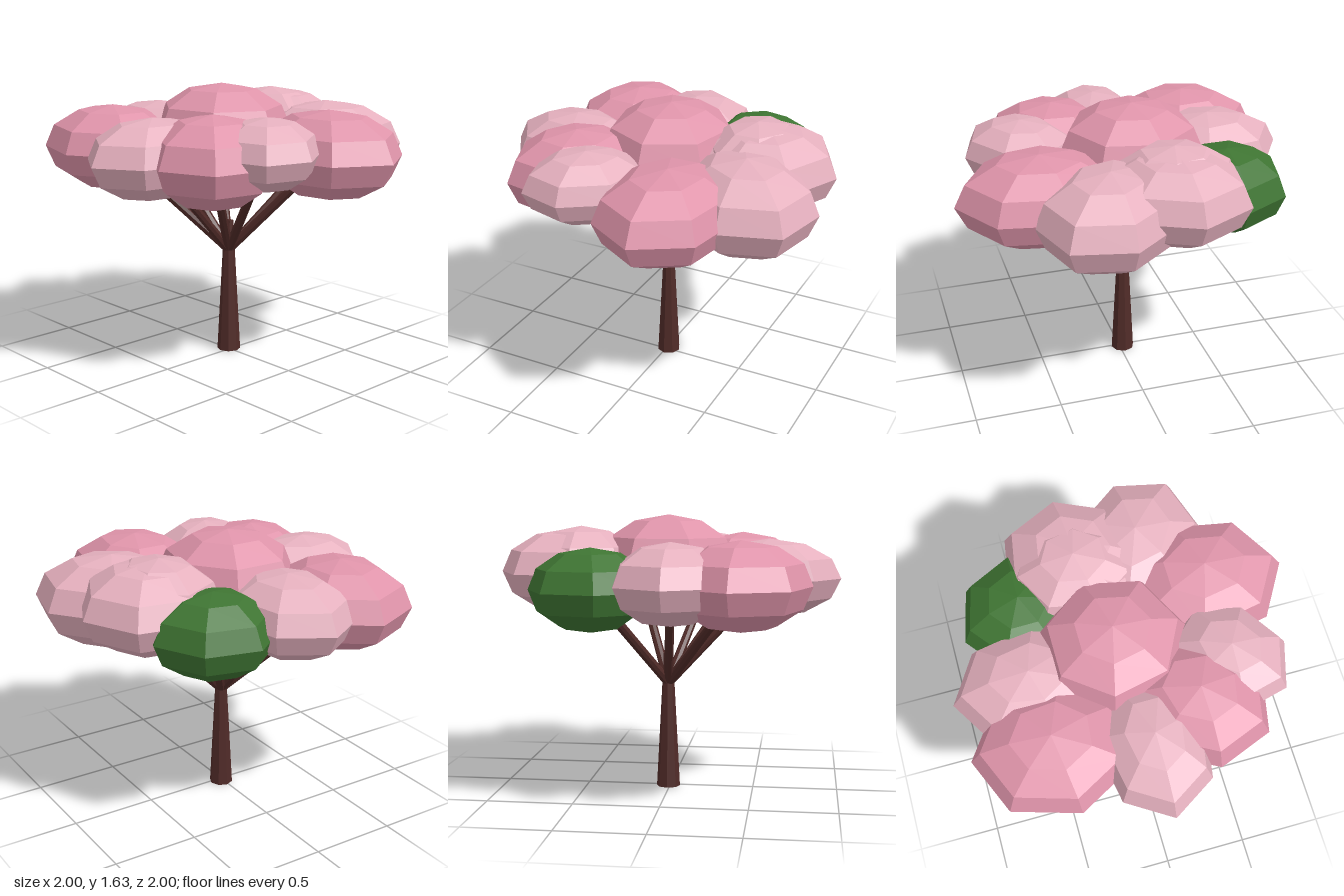
import * as THREE from 'three';

const mat = (color) => new THREE.MeshStandardMaterial({ color, flatShading: true });
const UP = new THREE.Vector3(0, 1, 0);

// Tapered limb between two points
function limb(name, from, to, r0, r1, material) {
  const dir = to.clone().sub(from);
  const mesh = new THREE.Mesh(new THREE.CylinderGeometry(r1, r0, dir.length(), 8), material);
  mesh.position.copy(from).addScaledVector(dir, 0.5);
  mesh.quaternion.setFromUnitVectors(UP, dir.normalize());
  mesh.name = name;
  return mesh;
}

export function createModel() {
  const tree = new THREE.Group();
  tree.name = 'blossomTree';
  const bark = mat(0x502b28);
  const pink = mat(0xdf94aa);
  const pale = mat(0xe5b0be);
  const green = mat(0x3f7533);

  // Trunk
  const base = new THREE.Vector3(0.01, 0, -0.02);
  const fork = new THREE.Vector3(0.01, 0.64, -0.02);
  tree.add(limb('trunk', base, fork, 0.07, 0.036, bark));

  // Foliage clumps: name, material, centre x y z, radii x y z, yaw, has branch
  const clumps = [
    ['crownClump', pink, 0, 1.37, -0.07, 0.4, 0.26, 0.42, 0, false],
    ['frontClump', pink, 0.275, 1.25, 0.53, 0.385, 0.255, 0.47, 0, true],
    ['frontRightClump', pink, -0.41, 1.26, 0.3, 0.37, 0.26, 0.42, -0.7, true],
    ['backRightClump', pink, -0.45, 1.25, -0.53, 0.39, 0.25, 0.45, Math.PI - 0.1, true],
    ['frontPaleClump', pale, -0.22, 1.31, 0.53, 0.3, 0.2, 0.36, -0.8, true],
    ['rightPaleClump', pale, -0.58, 1.26, 0, 0.32, 0.23, 0.42, -Math.PI / 2, true],
    ['backPaleClump', pale, -0.07, 1.26, -0.56, 0.345, 0.23, 0.44, Math.PI, true],
    ['frontLeftPaleClump', pale, 0.59, 1.24, 0.22, 0.385, 0.265, 0.46, 0.83, true],
    ['backLeftPaleClump', pale, 0.56, 1.3, -0.15, 0.4, 0.25, 0.43, 2.5, true],
    ['upperLeftPaleClump', pale, 0.5, 1.33, -0.16, 0.33, 0.235, 0.37, Math.PI, false],
    ['greenClump', green, 0.38, 1.22, -0.51, 0.36, 0.235, 0.35, 2.47, true],
  ];
  // Seven-sided ball with one corner towards +z
  const ball = new THREE.SphereGeometry(1, 7, 6).rotateY(Math.PI / 2);
  const foliage = new THREE.Group();
  foliage.name = 'foliage';
  const branches = new THREE.Group();
  branches.name = 'branches';
  for (const [name, material, x, y, z, rx, ry, rz, yaw, hasBranch] of clumps) {
    const clump = new THREE.Mesh(ball, material);
    clump.name = name;
    clump.position.set(x, y, z);
    clump.scale.set(rx, ry, rz);
    clump.rotation.y = yaw;
    foliage.add(clump);
    // Branch from the fork up into its clump
    if (hasBranch) {
      const start = fork.clone().setY(0.63);
      const end = start.clone().lerp(clump.position, 0.74);
      branches.add(limb('branch', start, end, 0.028, 0.025, bark));
    }
  }
  // Short central stub
  branches.add(limb('stub', fork, new THREE.Vector3(0.02, 0.81, -0.02), 0.028, 0.02, bark));
  tree.add(foliage, branches);
  return tree;
}
